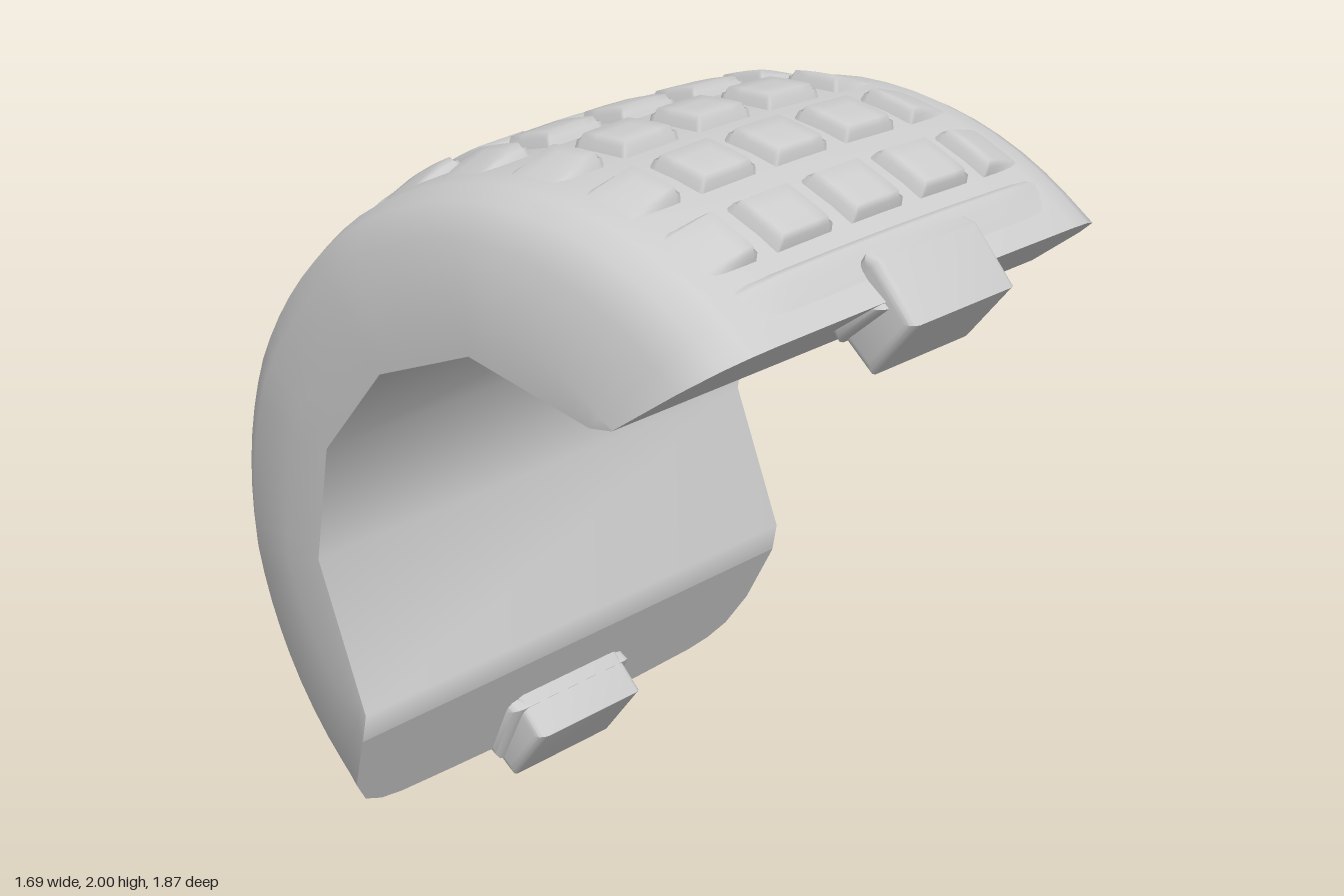
import * as THREE from 'three';
import { toCreasedNormals } from 'three/addons/utils/BufferGeometryUtils.js';

const CZ = 0.1, CY = 0.97;            // centre of the arc
const T0 = 43.8, T1 = 237.7;          // arc ends in degrees, from +z towards +y
const MID = (T0 + T1) / 2, HALF = (T1 - T0) / 2;
const rad = THREE.MathUtils.degToRad;

// Inner wall: [arc angle it pairs with, z, y]
const INNER = [
  [T0, 0.55, 1.475], [50, 0.48, 1.465], [91, 0.09, 1.55], [124.8, -0.22, 1.43],
  [158, -0.425, 1.18], [190.8, -0.475, 0.86], [230.5, -0.32, 0.46], [T1, -0.335, 0.38],
];
// Half cross-section: [x, fraction of wall thickness]
const SECTION = [
  [0, 1], [0.2, 0.995], [0.4, 0.98], [0.6, 0.96], [0.68, 0.93],
  [0.75, 0.86], [0.81, 0.68], [0.845, 0.3], [0.845, 0],
];
const FULL = [
  ...SECTION.slice(1).reverse().map(([x, f]) => [-x, f]),
  ...SECTION,
];

// Linear lookup in a table sorted by its first column
function lookup(table, key, col) {
  let i = 0;
  while (i < table.length - 2 && key > table[i + 1][0]) i++;
  const a = table[i], b = table[i + 1];
  return a[col] + ((b[col] - a[col]) * (key - a[0])) / (b[0] - a[0]);
}

// Point in the wall at angle t, width x, thickness fraction f, raised by h
function wallPoint(x, f, t, h = 0) {
  const u = (t - MID) / HALF, c = Math.cos(rad(t)), s = Math.sin(rad(t));
  const r = 0.985 + 0.065 * Math.abs(u) ** 3;
  const zi = lookup(INNER, t, 1), yi = lookup(INNER, t, 2);
  const g = f > 0 ? Math.max(0, 1 - (1 - f) * (1 + 0.4 * u ** 6)) : 0;
  return [
    x,
    yi + (CY + r * s - yi) * g + h * s,
    zi + (CZ + r * c - zi) * g + h * c,
  ];
}

// Smooth patch over two lists of parameters
function patch(us, vs, fn) {
  const pos = [], idx = [], n = us.length;
  vs.forEach((v) => us.forEach((u) => pos.push(...fn(u, v))));
  for (let j = 0; j < vs.length - 1; j++) {
    for (let i = 0; i < n - 1; i++) {
      const a = j * n + i, b = a + 1, c = a + n, d = c + 1;
      idx.push(a, b, d, a, d, c);
    }
  }
  const g = new THREE.BufferGeometry();
  g.setAttribute('position', new THREE.Float32BufferAttribute(pos, 3));
  g.setIndex(idx);
  g.computeVertexNormals();
  return g;
}

// Parameters from 0 to 1 with two bevel steps at each edge; b is the bevel width
function beveled(b, n) {
  const list = [0, b * 0.5];
  for (let i = 0; i <= n; i++) list.push(b + ((1 - 2 * b) * i) / n);
  return [...list, 1 - b * 0.5, 1];
}
const rise = (k, b) => {
  const e = Math.min(k, 1 - k) / b;
  return e >= 1 ? 1 : Math.max(0, e * (1.6 - 0.6 * e));
};

// Raised tread block following the crown of the shell
function treadBlock(x0, x1, t0, t1, n, fade) {
  const bx = 0.025 / (x1 - x0), bt = 1.4 / (t1 - t0);
  return patch(beveled(bx, n), beveled(bt, 3), (u, v) => {
    const x = x0 + (x1 - x0) * u, t = t0 + (t1 - t0) * v;
    const h = -0.006 + 0.042 * Math.min(rise(u, bx), rise(v, bt)) * fade(x, v);
    return wallPoint(x, lookup(SECTION, Math.abs(x), 1), t, h);
  });
}

// Rounded bar across the width from a z-y outline
function bar(points, width, bevel) {
  const shape = new THREE.Shape(points.map(([z, y]) => new THREE.Vector2(z, y)));
  const g = new THREE.ExtrudeGeometry(shape, {
    depth: width - 2 * bevel, bevelEnabled: true, bevelThickness: bevel,
    bevelSize: bevel, bevelOffset: -bevel, bevelSegments: 3,
  });
  g.translate(0, 0, bevel - width / 2);
  g.rotateY(-Math.PI / 2);
  return toCreasedNormals(g, 0.6);
}

export function createModel() {
  const group = new THREE.Group();
  const mat = new THREE.MeshStandardMaterial({ color: 0xcccccc });
  const add = (name, geometry, parent = group) => {
    const mesh = new THREE.Mesh(geometry, mat);
    mesh.name = name;
    parent.add(mesh);
  };

  // Shell: outer skin with rounded shoulders, inner wall and both cut ends
  const angles = [];
  for (let i = 0; i < INNER.length - 1; i++) {
    const a = INNER[i][0], b = INNER[i + 1][0], n = Math.max(1, Math.round((b - a) / 5));
    for (let k = 0; k < n; k++) angles.push(a + ((b - a) * k) / n);
  }
  angles.push(T1);
  const flipped = [...FULL].reverse();
  add('outerShell', patch(FULL, angles, ([x, f], t) => wallPoint(x, f, t)));
  add('innerWall', patch([0.845, -0.845], INNER, (x, [, z, y]) => [x, y, z]));
  const endFace = (cols, t) => patch(cols, [0, 1], ([x, f], v) => wallPoint(x, f * v > 0 ? f : 0, t));
  add('upperEnd', endFace(FULL, T0));
  add('lowerEnd', endFace(flipped, T1));

  // Tread: twelve rows of five blocks, the outer ones melting into the shoulders
  const tread = new THREE.Group();
  tread.name = 'tread';
  group.add(tread);
  const sideFade = (x) => THREE.MathUtils.clamp((0.64 - Math.abs(x)) / 0.16, 0, 1);
  const columns = [[-0.64, -0.445], [-0.385, -0.17], [-0.107, 0.107], [0.17, 0.385], [0.445, 0.64]];
  for (let row = 0; row < 12; row++) {
    const t = MID + (row - 5.5) * 14.4;
    for (const [a, b] of columns) {
      add('treadBlock', treadBlock(a, b, t - 5.2, t + 5.2, 4, sideFade), tread);
    }
  }

  // Low lips closing the tread at both ends
  add('upperLip', treadBlock(-0.64, 0.64, 46.5, 54, 16, (x, v) => sideFade(x) * v * 0.8), tread);
  add('lowerLip', treadBlock(-0.64, 0.64, 227.5, 235, 16, (x, v) => sideFade(x) * (1 - v) * 0.8), tread);

  // Clips on the cut ends, each with a slightly wider foot
  add('upperClip', bar([[0.94, 1.65], [0.81, 1.495], [0.67, 1.62], [0.78, 1.8], [0.82, 1.79]], 0.42, 0.025));
  add('upperClipFoot', bar([[0.865, 1.68], [0.73, 1.565], [0.68, 1.62], [0.8, 1.73]], 0.48, 0.03));
  add('lowerClip', bar([[-0.293, 0.16], [-0.415, 0.002], [-0.58, 0.13], [-0.5, 0.25], [-0.39, 0.26]], 0.42, 0.025));
  add('lowerClipFoot', bar([[-0.36, 0.23], [-0.445, 0.05], [-0.52, 0.1], [-0.43, 0.27]], 0.48, 0.03));

  return group;
}
